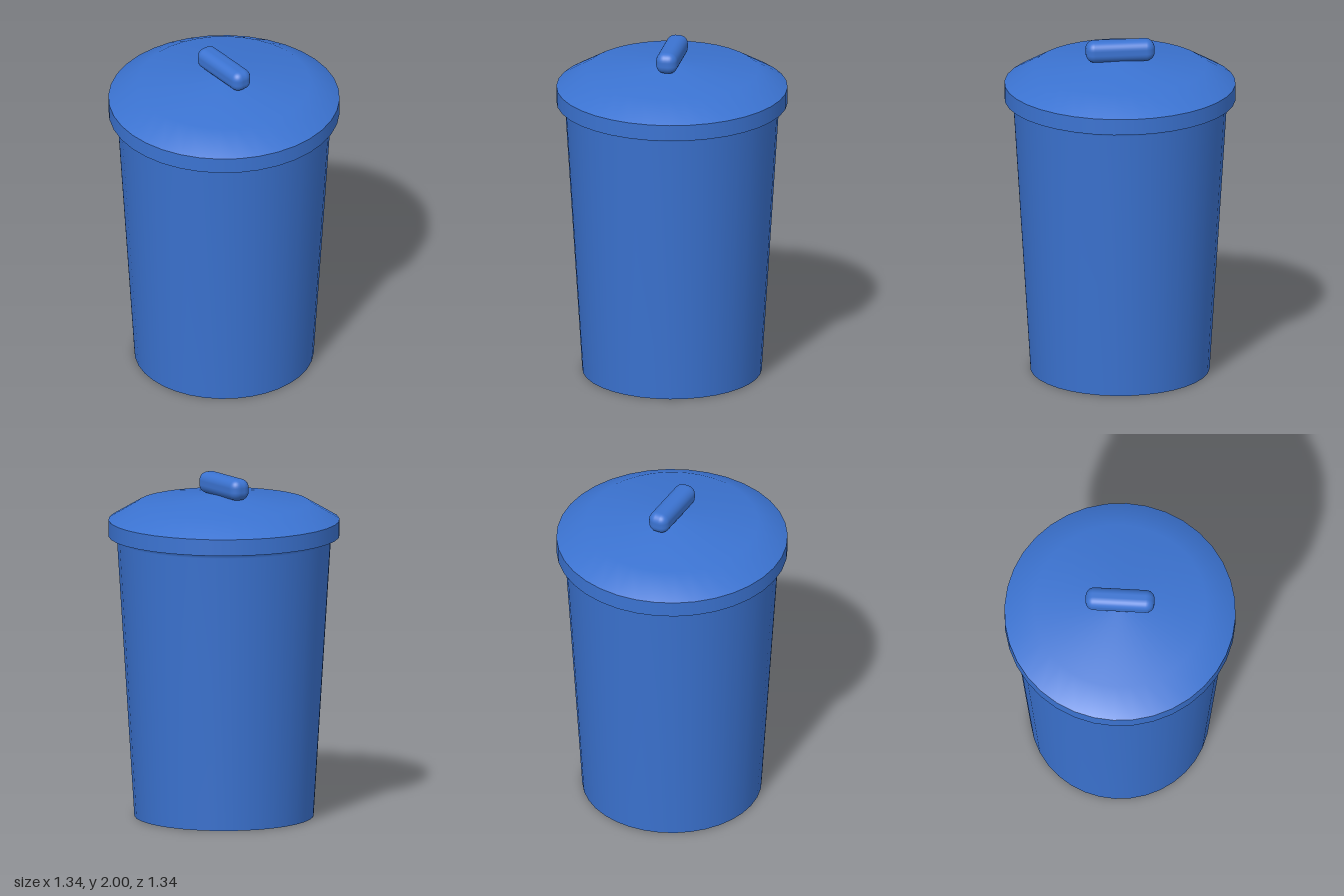
import * as THREE from 'three';
import { RoundedBoxGeometry } from 'three/addons/geometries/RoundedBoxGeometry.js';

const SIDES = 36;

export function createModel() {
  const model = new THREE.Group();
  model.name = 'trashCan';

  const blue = new THREE.MeshStandardMaterial({ color: 0x3b73d1 });
  blue.name = 'blue plastic';

  const add = (parent, name, geometry) => {
    const mesh = new THREE.Mesh(geometry, blue);
    mesh.name = name;
    parent.add(mesh);
    return mesh;
  };

  // Each smooth band is its own lathe, so edges between bands stay sharp
  const band = (parent, name, profile) =>
    add(parent, name, new THREE.LatheGeometry(profile.map(([r, y]) => new THREE.Vector2(r, y)), SIDES));

  // Tapered bin with a flared lip
  const bin = new THREE.Group();
  bin.name = 'bin';
  band(bin, 'binBottom', [[0, 0], [0.52, 0]]);
  band(bin, 'binWall', [[0.52, 0], [0.62, 1.62], [0.65, 1.65]]);

  // Lid with a straight rim and a shallow domed top
  const lid = new THREE.Group();
  lid.name = 'lid';
  band(lid, 'lidUnderside', [[0, 1.645], [0.67, 1.645]]);
  band(lid, 'lidRim', [[0.67, 1.645], [0.67, 1.74]]);
  band(lid, 'lidTop', [[0.67, 1.74], [0.5, 1.84], [0, 1.89]]);

  // Rounded grip on top of the lid
  const handle = add(lid, 'handle', new RoundedBoxGeometry(0.4, 0.125, 0.125, 4, 0.05));
  handle.position.y = 1.9375;

  model.add(bin, lid);
  return model;
}
